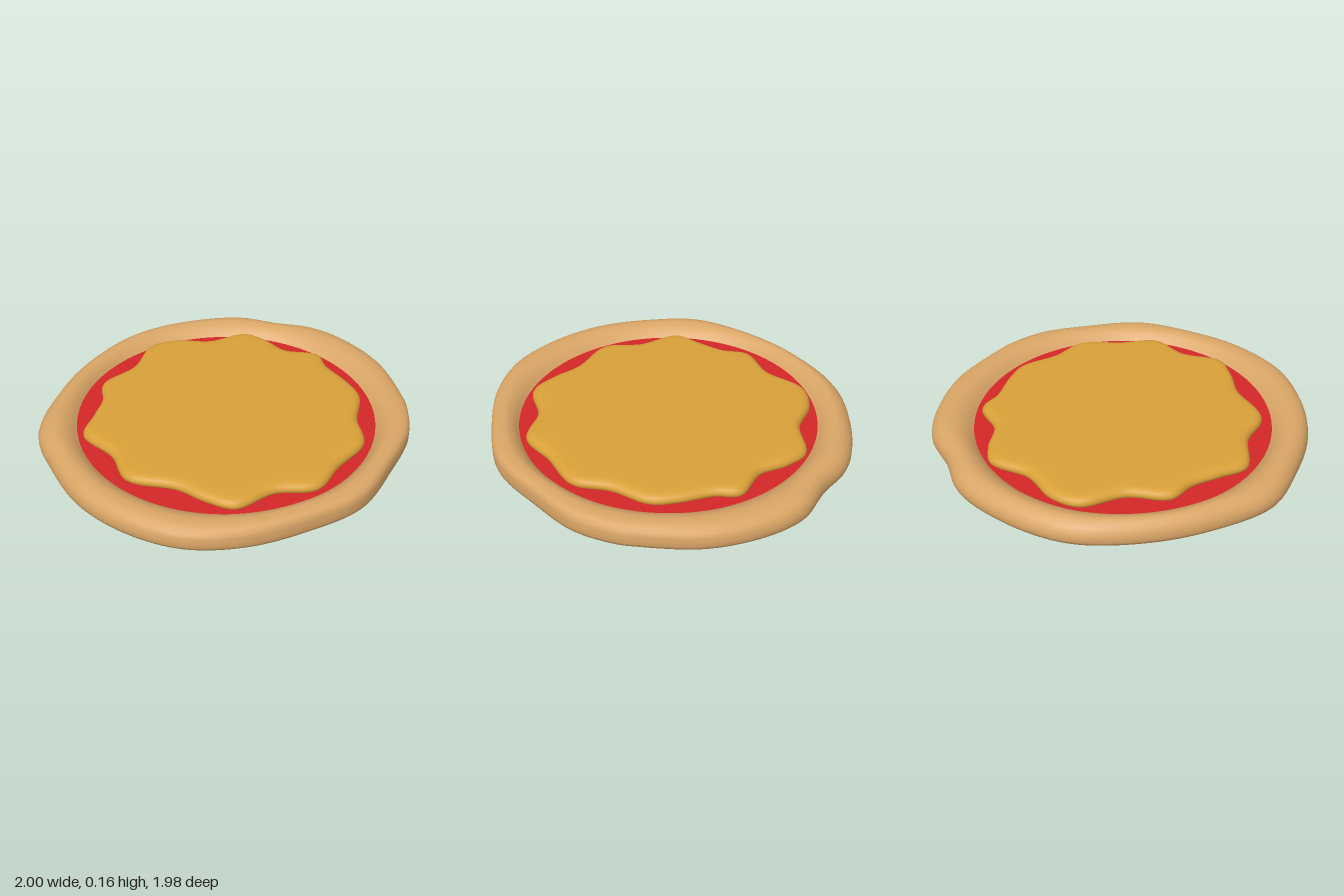
import * as THREE from 'three';

const SEGMENTS = 192;
const INNER = { x: 0.01, z: 0.005, r: 0.803 }; // round well that holds the sauce

// Closed smooth outline through [x, z] points, counter-clockwise seen from above
function outline(points) {
  const curve = new THREE.CatmullRomCurve3(
    points.map(([x, z]) => new THREE.Vector3(x, 0, z)), true, 'centripetal');
  return Array.from({ length: SEGMENTS }, (_, i) => curve.getPoint(i / SEGMENTS));
}

// Skins a stack of closed rings, ordered from the bottom outward, up and inward
function loft(rings) {
  const n = rings[0].length;
  const positions = rings.flatMap(ring => ring.flatMap(p => [p.x, p.y, p.z]));
  const index = [];
  for (let i = 0; i < rings.length - 1; i++) {
    for (let j = 0; j < n; j++) {
      const k = (j + 1) % n;
      const a = i * n + j, b = i * n + k, c = (i + 1) * n + k, d = (i + 1) * n + j;
      index.push(a, b, c, a, c, d);
    }
  }
  const geometry = new THREE.BufferGeometry();
  geometry.setAttribute('position', new THREE.Float32BufferAttribute(positions, 3));
  geometry.setIndex(index);
  geometry.computeVertexNormals();
  return geometry;
}

// Ring that shrinks an outline toward the centre
const scaled = (points, s, y) => points.map(p => new THREE.Vector3(p.x * s, y, p.z * s));

export function createModel() {
  const crustMat = new THREE.MeshStandardMaterial({ name: 'bakedDough', color: 0xd9a566 });
  const sauceMat = new THREE.MeshStandardMaterial({ name: 'tomatoRed', color: 0xd42628 });
  const cheeseMat = new THREE.MeshStandardMaterial({ name: 'goldenCheese', color: 0xd9a038 });

  const group = new THREE.Group();
  group.name = 'pizza';
  const add = (name, geometry, material) => {
    const mesh = new THREE.Mesh(geometry, material);
    mesh.name = name;
    group.add(mesh);
  };

  // Hand-stretched outer edge of the dough
  const edge = outline([
    [1.0, -0.03], [0.95, -0.37], [0.81, -0.64], [0.65, -0.8], [0.43, -0.88], [0.25, -0.97],
    [0.06, -0.99], [-0.26, -0.94], [-0.48, -0.84], [-0.72, -0.6], [-0.89, -0.32], [-1.0, 0.02],
    [-0.93, 0.31], [-0.8, 0.59], [-0.58, 0.82], [-0.32, 0.96], [-0.02, 0.985], [0.3, 0.91],
    [0.59, 0.78], [0.81, 0.51], [0.95, 0.29], [1.0, 0.08],
  ]);
  // Ring between the well (t = 0) and the outer edge (t = 1); lean steepens the front-left wall
  const rimRing = (t, y, lean = 0) => edge.map(p => {
    const angle = Math.atan2(p.z, p.x);
    const inner = new THREE.Vector3(
      INNER.x + INNER.r * Math.cos(angle), 0, INNER.z + INNER.r * Math.sin(angle));
    const f = t + lean * (p.x + p.z);
    return inner.lerp(p, f).setY(y);
  });

  // Crust: slightly domed underside, rounded wall, rolled rim and slope down to the well
  add('crust', loft([
    scaled(edge, 0, 0), scaled(edge, 0.3, 0.002), scaled(edge, 0.6, 0.007),
    scaled(edge, 0.82, 0.015), scaled(edge, 0.92, 0.023), scaled(edge, 0.97, 0.034),
    rimRing(0.97, 0.045), rimRing(1, 0.062), rimRing(1, 0.085),
    rimRing(0.975, 0.11, 0.015), rimRing(0.91, 0.133, 0.045), rimRing(0.8, 0.15, 0.06),
    rimRing(0.66, 0.158, 0.05), rimRing(0.5, 0.16), rimRing(0.35, 0.153),
    rimRing(0.2, 0.138), rimRing(0.08, 0.118), rimRing(0, 0.1), rimRing(-0.08, 0.09),
  ]), crustMat);

  // Sauce: flat round disc lying in the well
  const sauce = new THREE.CircleGeometry(INNER.r + 0.002, 96);
  sauce.rotateX(-Math.PI / 2);
  sauce.translate(INNER.x, 0.103, INNER.z);
  add('sauce', sauce, sauceMat);

  // Cheese: melted wavy sheet with a rounded edge
  const melt = outline([
    [0.76, -0.05], [0.72, -0.19], [0.64, -0.35], [0.61, -0.48], [0.43, -0.55], [0.33, -0.68],
    [0.22, -0.76], [0, -0.705], [-0.2, -0.74], [-0.35, -0.69], [-0.465, -0.48], [-0.64, -0.34],
    [-0.65, -0.19], [-0.71, -0.03], [-0.76, 0.11], [-0.62, 0.3], [-0.555, 0.5], [-0.315, 0.6],
    [-0.18, 0.71], [-0.04, 0.78], [0.165, 0.69], [0.38, 0.69], [0.52, 0.53], [0.69, 0.36],
    [0.7, 0.16],
  ]);
  add('cheese', loft([
    scaled(melt, 0.985, 0.1), scaled(melt, 1, 0.112), scaled(melt, 1, 0.126),
    scaled(melt, 0.988, 0.142), scaled(melt, 0.965, 0.152), scaled(melt, 0.93, 0.156),
    scaled(melt, 0.85, 0.157), scaled(melt, 0.5, 0.157), scaled(melt, 0, 0.157),
  ]), cheeseMat);

  return group;
}
